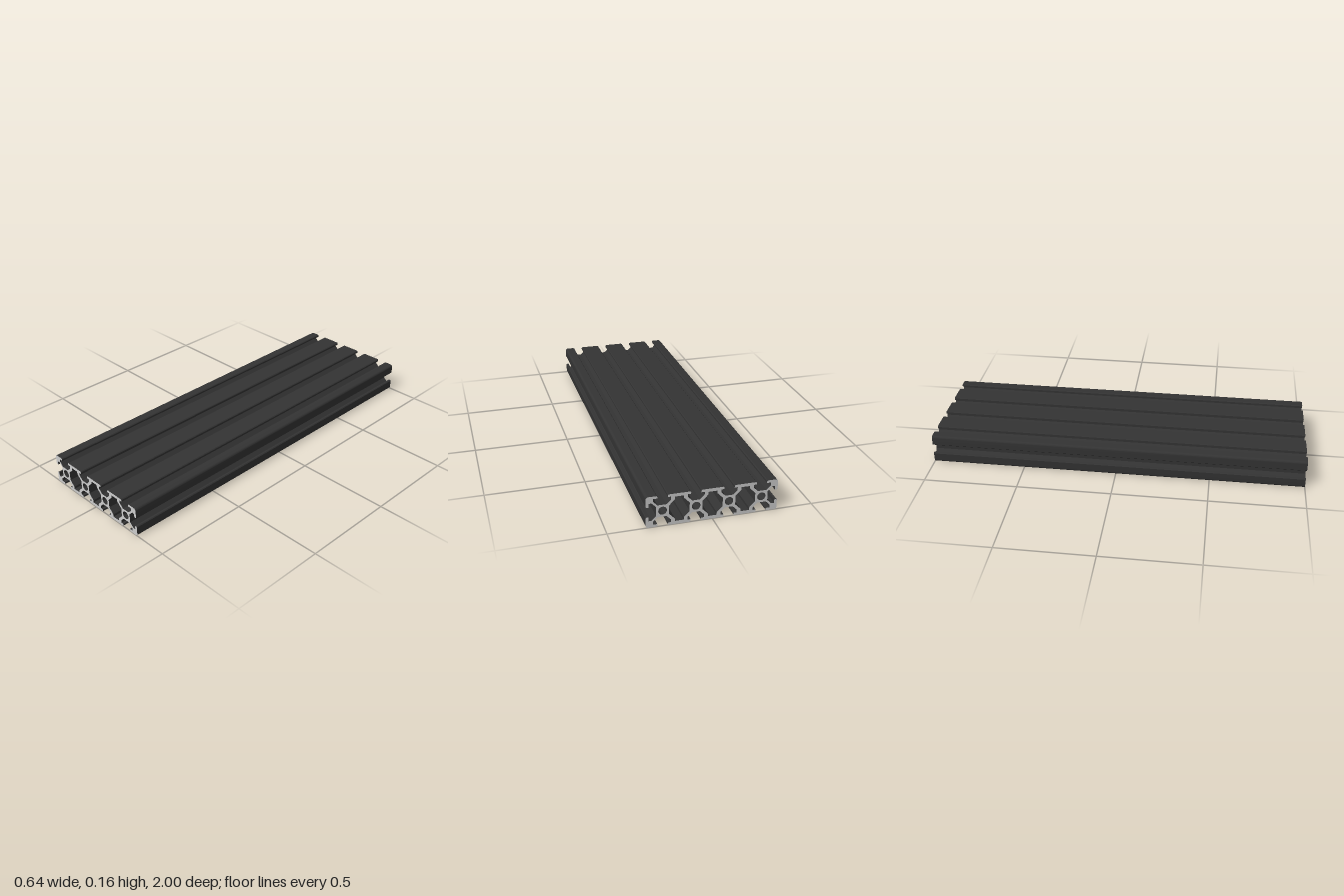
import * as THREE from 'three';
import { toCreasedNormals } from 'three/addons/utils/BufferGeometryUtils.js';

const PITCH = 0.16, HALF = 0.08, LENGTH = 2;
const CORES = [-0.24, -0.08, 0.08, 0.24];
const END_WALL = 0.0455, MID_WALL = 0.04;

// One half of a T-slot, from the outer face to the core: [along, outward]
const halfSlot = (wall) => [
  [0.029, 0.08], [0.025, 0.076], [0.025, 0.067],
  [wall, 0.067], [wall, 0.0525], [wall - 0.0215, 0.031],
];

// Full slot around core cx, facing "angle", walked counter-clockwise
function slot(cx, angle, wallBefore, wallAfter) {
  const nx = Math.round(Math.cos(angle)), ny = Math.round(Math.sin(angle));
  const place = ([a, d]) => new THREE.Vector2(cx + nx * d - ny * a, HALF + ny * d + nx * a);
  const before = halfSlot(wallBefore).map(([a, d]) => [-a, d]);
  const after = halfSlot(wallAfter).reverse();
  return [...before, ...after].map(place);
}

// Rounded outer corner, starting at "angle"
function corner(sx, sy, angle) {
  const r = 0.012, points = [];
  for (let i = 0; i <= 6; i++) {
    const t = angle + (i / 6) * Math.PI / 2;
    points.push(new THREE.Vector2(
      sx * (0.32 - r) + r * Math.cos(t), HALF + sy * (HALF - r) + r * Math.sin(t)));
  }
  return points;
}

function railShape() {
  const q = Math.PI / 2;
  const wall = (outer) => (outer ? END_WALL : MID_WALL);
  const outline = [];

  // Right side, top slots, left side, bottom slots
  outline.push(...slot(CORES[3], 0, END_WALL, END_WALL), ...corner(1, 1, 0));
  for (let i = 3; i >= 0; i--) outline.push(...slot(CORES[i], q, wall(i === 3), wall(i === 0)));
  outline.push(...corner(-1, 1, q), ...slot(CORES[0], 2 * q, END_WALL, END_WALL));
  outline.push(...corner(-1, -1, 2 * q));
  for (let i = 0; i < 4; i++) outline.push(...slot(CORES[i], 3 * q, wall(i === 0), wall(i === 3)));
  outline.push(...corner(1, -1, 3 * q));

  const shape = new THREE.Shape(outline);

  // Round bores through the cores
  for (const x of CORES) {
    shape.holes.push(new THREE.Path().absarc(x, HALF, 0.0205, 0, Math.PI * 2, true));
  }

  // Large chambers between neighbouring cores
  const quarter = [[0.0215, 0.064], [0.0215, 0.051], [0.049, 0.0225]];
  const right = [...quarter, ...quarter.map(([x, y]) => [x, -y]).reverse()];
  const ring = [...right, ...right.map(([x, y]) => [-x, -y])];
  for (let i = 0; i < 3; i++) {
    const mid = CORES[i] + PITCH / 2;
    shape.holes.push(new THREE.Path(ring.map(([x, y]) => new THREE.Vector2(mid + x, HALF + y))));
  }
  return shape;
}

export function createModel() {
  const cutEnd = new THREE.MeshStandardMaterial({ color: 0xcccccc });
  cutEnd.name = 'bare aluminium';
  const coating = new THREE.MeshStandardMaterial({ color: 0x333333 });
  coating.name = 'black coating';

  let geometry = new THREE.ExtrudeGeometry(railShape(), {
    depth: LENGTH, bevelEnabled: false, curveSegments: 32,
  });
  geometry.translate(0, 0, -LENGTH / 2);
  geometry = toCreasedNormals(geometry, 0.5);

  // Cut ends are bare metal, the long faces are coated
  const rail = new THREE.Mesh(geometry, [cutEnd, coating]);
  rail.name = 'slottedRail';

  const model = new THREE.Group();
  model.name = 'slottedProfile';
  model.add(rail);
  return model;
}
